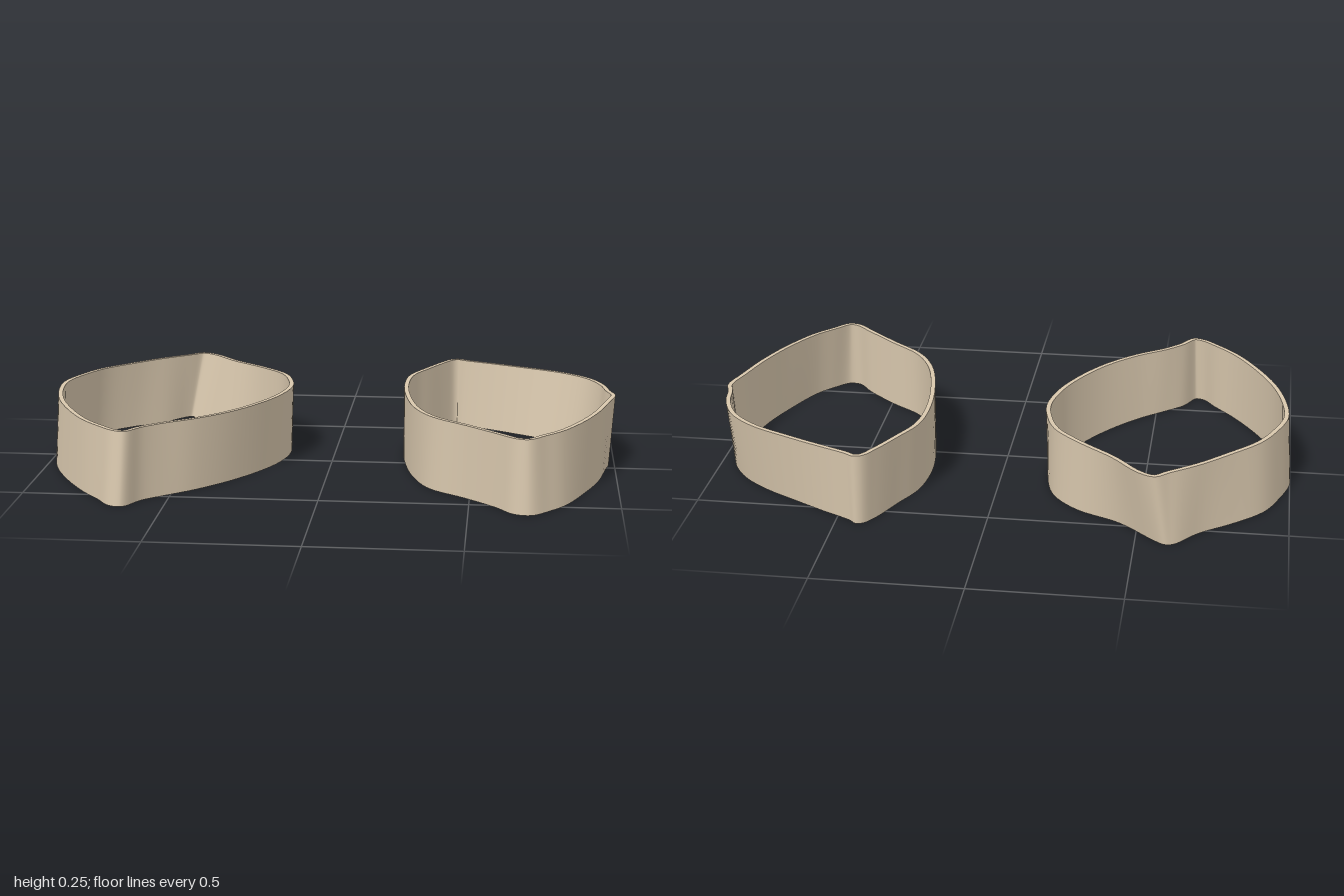
import * as THREE from 'three';

const HEIGHT = 0.25;
const WALL = 0.016;
const STEPS = 130;

// Outer rim outline, clockwise from above: x, z, then the lean of the lower edge in x, z
const LARGE = [
  [-0.56, -0.635, -0.04, 0.018], [-0.505, -0.61, -0.06, 0.015], [-0.41, -0.505, -0.03, 0.025],
  [-0.29, -0.4, 0, 0], [-0.2, -0.3, 0, 0], [-0.16, -0.185, -0.006, 0], [-0.15, -0.09, -0.01, 0],
  [-0.175, 0.04, -0.012, 0], [-0.23, 0.17, -0.015, -0.005], [-0.315, 0.305, -0.015, -0.01],
  [-0.42, 0.415, -0.01, -0.005], [-0.52, 0.49, 0, 0], [-0.58, 0.55, -0.005, 0],
  [-0.625, 0.61, -0.01, 0.02], [-0.665, 0.6, -0.015, 0.022], [-0.72, 0.55, -0.01, 0.005],
  [-0.795, 0.465, -0.006, 0], [-0.88, 0.32, -0.01, 0], [-0.945, 0.165, -0.015, 0],
  [-0.98, 0, -0.017, 0], [-0.982, -0.105, -0.018, 0], [-0.95, -0.21, -0.018, -0.005],
  [-0.895, -0.32, -0.02, -0.012], [-0.8, -0.425, -0.012, -0.01], [-0.705, -0.52, 0, 0],
  [-0.61, -0.595, -0.018, -0.015],
];
const SMALL = [
  [0.43, -0.61, 0, 0.008], [0.465, -0.59, -0.01, 0.01], [0.565, -0.545, -0.01, 0.02],
  [0.68, -0.49, -0.015, 0.03], [0.82, -0.415, -0.025, 0.035], [0.915, -0.325, -0.03, 0.025],
  [0.965, -0.215, -0.02, 0.01], [0.98, -0.13, -0.015, 0], [0.997, -0.065, -0.016, 0],
  [0.975, 0.03, -0.01, 0], [0.935, 0.18, 0, 0], [0.88, 0.325, 0.005, 0],
  [0.805, 0.465, 0.015, 0.01], [0.75, 0.53, 0.018, 0.015], [0.695, 0.59, 0.01, 0.015],
  [0.655, 0.585, -0.005, 0.012], [0.59, 0.525, 0, 0], [0.485, 0.425, 0, 0],
  [0.37, 0.32, -0.006, 0.005], [0.305, 0.2, 0, 0], [0.265, 0.03, 0, 0],
  [0.247, -0.16, 0, 0], [0.26, -0.32, 0.008, 0], [0.31, -0.435, 0.008, 0.005],
  [0.365, -0.545, 0.005, 0], [0.4, -0.6, 0.005, 0.005],
];

// Closed rim loop plus a parallel loop set inwards by the wall thickness
function rimLoops(points, y) {
  const curve = new THREE.CatmullRomCurve3(
    points.map(([x, z]) => new THREE.Vector3(x, y, z)), true, 'centripetal');
  const outer = [], inner = [];
  for (let i = 0; i < STEPS; i++) {
    const p = curve.getPoint(i / STEPS);
    const t = curve.getTangent(i / STEPS);
    outer.push(p);
    inner.push(new THREE.Vector3(p.x - t.z * WALL, y, p.z + t.x * WALL));
  }
  return { outer, inner };
}

// Smooth closed band between two loops
function band(name, a, b, material) {
  const n = a.length;
  const positions = [...a, ...b].flatMap((p) => p.toArray());
  const index = [];
  for (let i = 0; i < n; i++) {
    const j = (i + 1) % n;
    index.push(i, n + i, j, j, n + i, n + j);
  }
  const geometry = new THREE.BufferGeometry();
  geometry.setAttribute('position', new THREE.Float32BufferAttribute(positions, 3));
  geometry.setIndex(index);
  geometry.computeVertexNormals();
  const mesh = new THREE.Mesh(geometry, material);
  mesh.name = name;
  return mesh;
}

function leafRing(name, outline, material) {
  const top = rimLoops(outline, HEIGHT);
  const bottom = rimLoops(outline.map(([x, z, dx, dz]) => [x + dx, z + dz]), 0);
  const ring = new THREE.Group();
  ring.name = name;
  ring.add(
    band('outerWall', bottom.outer, top.outer, material),
    band('topRim', top.outer, top.inner, material),
    band('innerWall', top.inner, bottom.inner, material),
    band('bottomRim', bottom.inner, bottom.outer, material),
  );
  return ring;
}

export function createModel() {
  const beige = new THREE.MeshStandardMaterial({ color: 0xd8c7ad });
  beige.name = 'beige';
  const model = new THREE.Group();
  model.name = 'leafCutters';
  model.add(leafRing('largeLeafRing', LARGE, beige), leafRing('smallLeafRing', SMALL, beige));
  return model;
}
